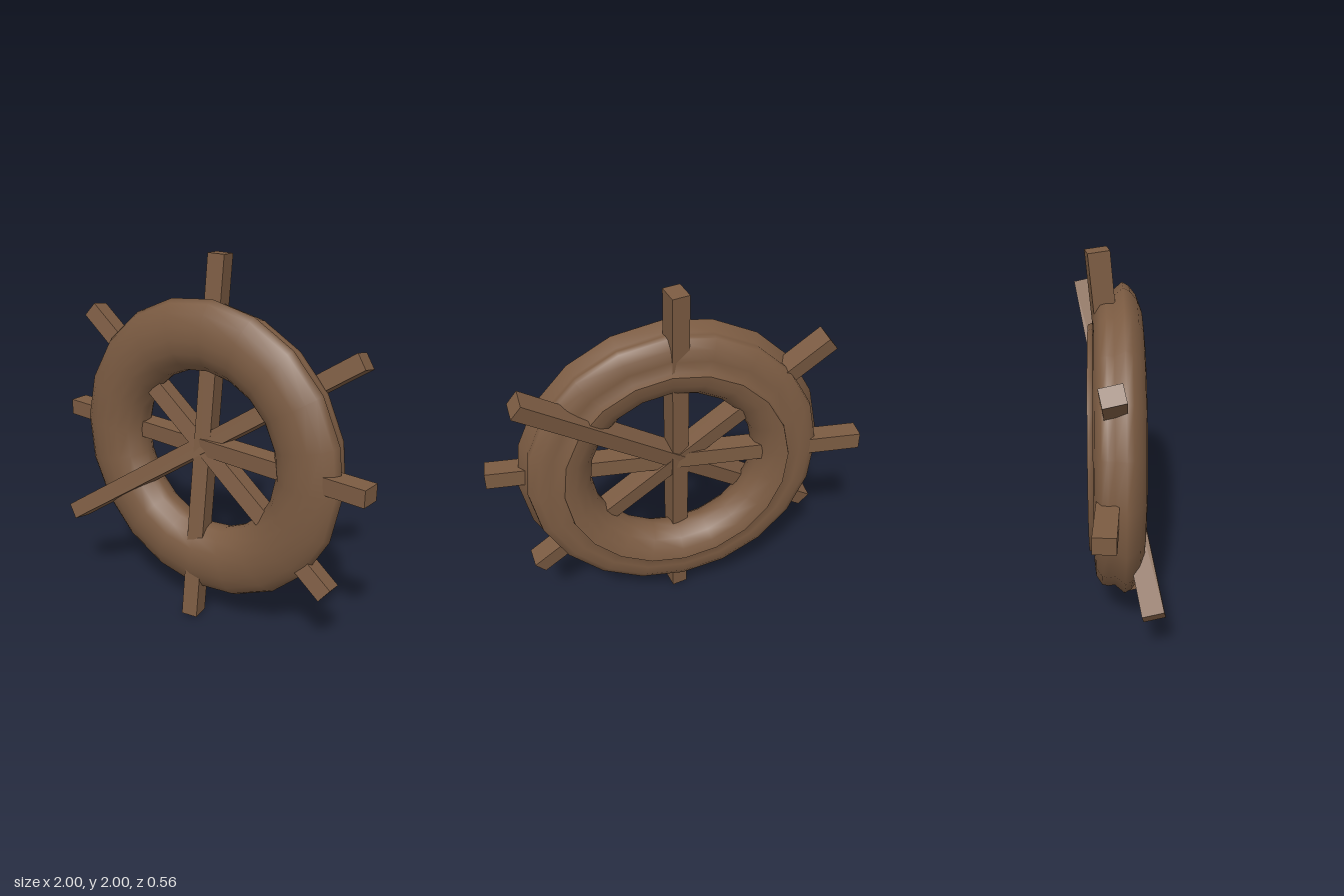
import * as THREE from 'three';

export function createModel() {
  const model = new THREE.Group();
  const wood = new THREE.MeshStandardMaterial({ color: 0x7b5b42 });
  wood.name = 'brownWood';

  // Rim: a 20-sided ring with a grooved outer edge and a sharp lip on the back
  const profile = [
    [0.6, -0.145], [0.61, -0.115], [0.67, -0.118], [0.73, -0.11], [0.775, -0.08],
    [0.782, -0.05], [0.778, -0.015], [0.82, 0.035], [0.8, 0.07], [0.755, 0.105],
    [0.69, 0.13], [0.62, 0.138], [0.55, 0.128], [0.49, 0.095], [0.45, 0.045],
    [0.44, 0], [0.45, -0.05], [0.485, -0.1], [0.54, -0.135], [0.6, -0.145],
  ].map(([r, y]) => new THREE.Vector2(r, y));
  const rimGeometry = new THREE.LatheGeometry(profile, 20);
  rimGeometry.rotateX(Math.PI / 2);
  rimGeometry.rotateZ(-0.055);
  const rim = new THREE.Mesh(rimGeometry, wood);
  rim.name = 'rim';
  rim.rotation.y = 0.067;
  rim.position.set(0.02, 0.972, 0);
  model.add(rim);

  // Spokes: four full-length bars crossing at the centre, each slightly askew
  const spokeGeometry = new THREE.BoxGeometry(2, 0.09, 0.11);
  function addSpoke(name, direction, front) {
    const x = new THREE.Vector3(...direction).normalize();
    const y = new THREE.Vector3(...front).cross(x).normalize();
    const z = new THREE.Vector3().crossVectors(x, y);
    const spoke = new THREE.Mesh(spokeGeometry, wood);
    spoke.name = name;
    spoke.quaternion.setFromRotationMatrix(new THREE.Matrix4().makeBasis(x, y, z));
    spoke.position.y = 1;
    model.add(spoke);
  }
  addSpoke('horizontalSpoke', [1, 0, 0], [0, 0, 1]);
  addSpoke('verticalSpoke', [0.016, 1, -0.092], [0.26, 0, 0.97]);
  addSpoke('fallingSpoke', [0.78, -0.61, -0.025], [0.15, 0.2, 0.97]);
  addSpoke('risingSpoke', [0.8, 0.557, -0.223], [0, 0.12, 1]);

  return model;
}
